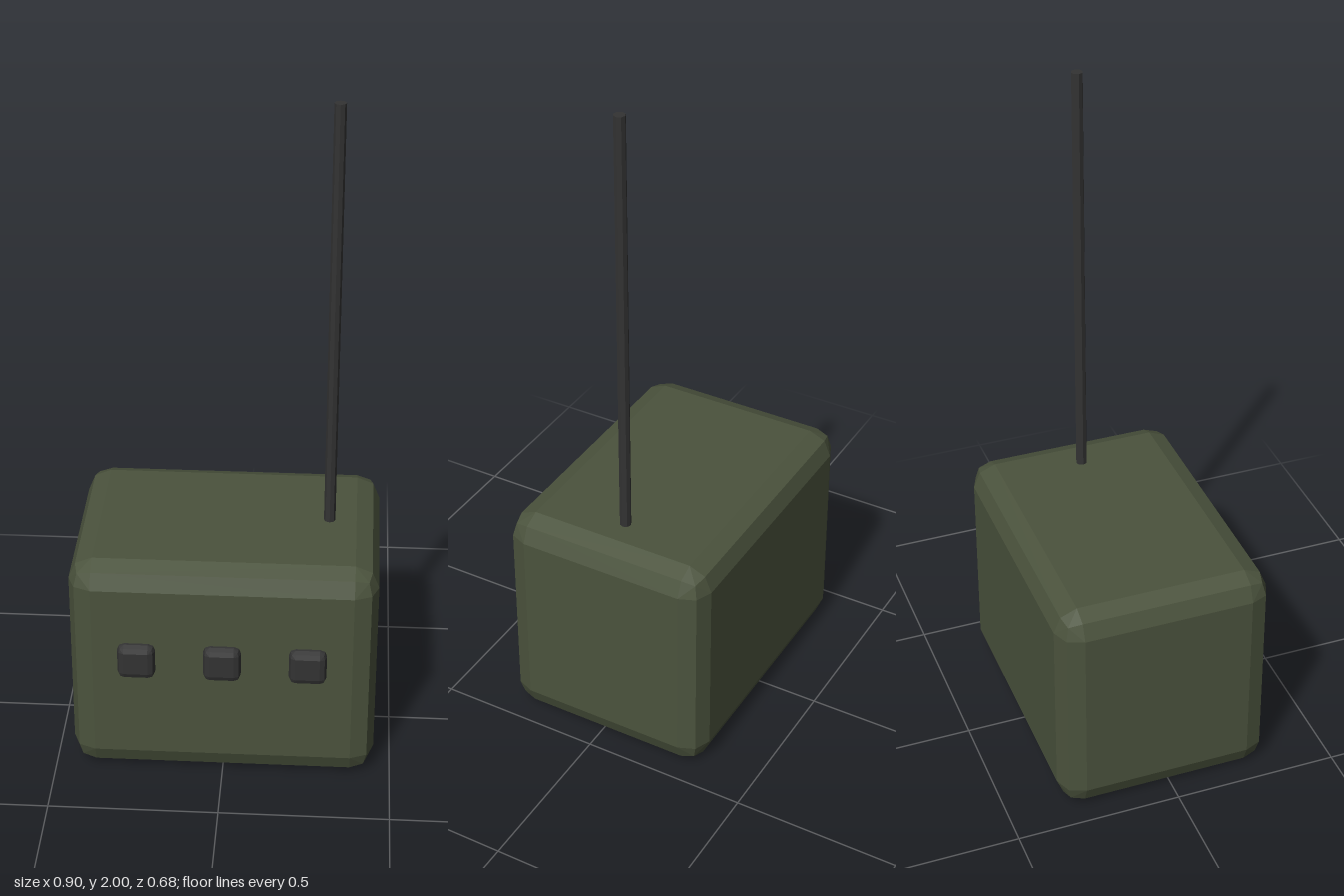
import * as THREE from 'three';
import { ConvexGeometry } from 'three/addons/geometries/ConvexGeometry.js';

// Box with faceted, two-step rounded edges: the hull of seven points per corner.
function beveledBox(width, height, depth, radius) {
  const d = Math.SQRT1_2, c = 1 / Math.sqrt(3);
  const octant = [[1, 0, 0], [0, 1, 0], [0, 0, 1], [d, d, 0], [d, 0, d], [0, d, d], [c, c, c]];
  const core = [width / 2 - radius, height / 2 - radius, depth / 2 - radius];
  const points = [];
  for (const sx of [-1, 1]) for (const sy of [-1, 1]) for (const sz of [-1, 1]) {
    for (const n of octant) {
      points.push(new THREE.Vector3(
        sx * (core[0] + n[0] * radius),
        sy * (core[1] + n[1] * radius),
        sz * (core[2] + n[2] * radius)));
    }
  }
  return new ConvexGeometry(points);
}

export function createModel() {
  const model = new THREE.Group();
  model.name = 'radio';
  const green = new THREE.MeshStandardMaterial({ color: 0x4b533d });
  const dark = new THREE.MeshStandardMaterial({ color: 0x333333 });
  const darkFlat = new THREE.MeshStandardMaterial({ color: 0x333333, flatShading: true });

  const add = (name, geometry, material, x, y, z) => {
    const mesh = new THREE.Mesh(geometry, material);
    mesh.name = name;
    mesh.position.set(x, y, z);
    model.add(mesh);
  };

  const centreZ = -0.016;

  // Main case
  add('body', beveledBox(0.9, 0.7, 0.65, 0.07), green, 0, 0.35, centreZ);

  // Row of three buttons half sunk into the front
  const button = beveledBox(0.11, 0.11, 0.056, 0.02);
  ['rightButton', 'middleButton', 'leftButton'].forEach((name, i) => {
    add(name, button, dark, (i - 1) * 0.25, 0.4, 0.309);
  });

  // Thin rod standing on the top
  add('antenna', new THREE.CylinderGeometry(0.017, 0.017, 1.3, 8), darkFlat, 0.3, 1.35, centreZ);

  return model;
}
